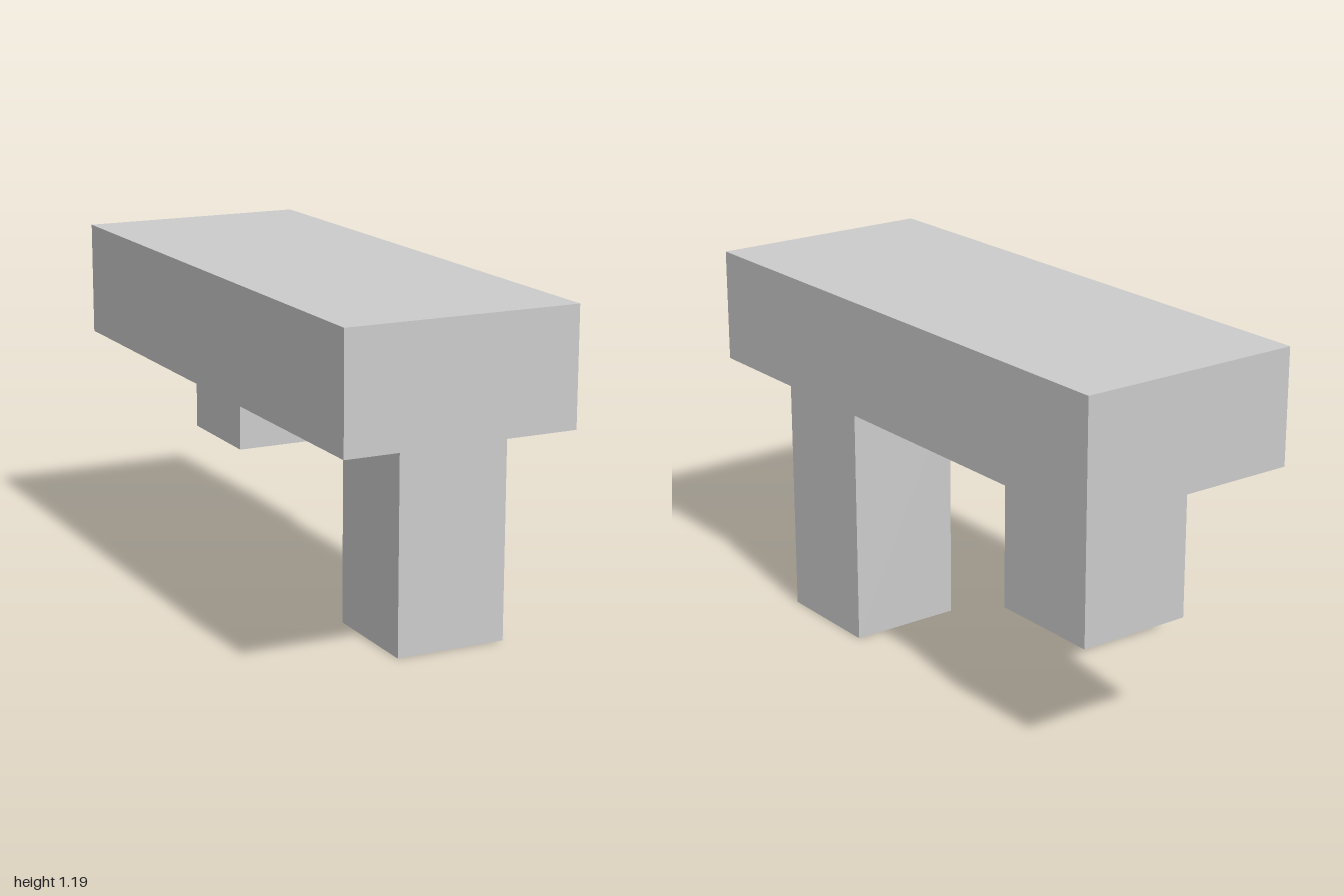
import * as THREE from 'three';

const material = new THREE.MeshStandardMaterial({ color: 0xcccccc, flatShading: true });

// Box given by its minimum and maximum corners
function block(name, min, max) {
  const size = max.map((v, i) => v - min[i]);
  const mesh = new THREE.Mesh(new THREE.BoxGeometry(...size), material);
  mesh.position.set(...max.map((v, i) => (v + min[i]) / 2));
  mesh.name = name;
  return mesh;
}

export function createModel() {
  const group = new THREE.Group();
  group.name = 'blockBench';

  const size = 0.39;            // thickness of every bar
  const pitch = (2 - size) / 4; // spacing of the underlying grid
  const half = (pitch + size) / 2;
  const under = 2 * pitch;      // underside of the slab

  // Long slab on top
  group.add(block('slab', [-half, under, -1], [half, under + size, 1]));

  // Tall front leg and short rear leg, both flush with the left side
  const frontZ = 1 - pitch;
  group.add(block('frontLeg', [half - size, 0, frontZ - size], [half, under, frontZ]));
  group.add(block('rearLeg', [half - size, pitch, -1], [half, under, -1 + size]));

  return group;
}
